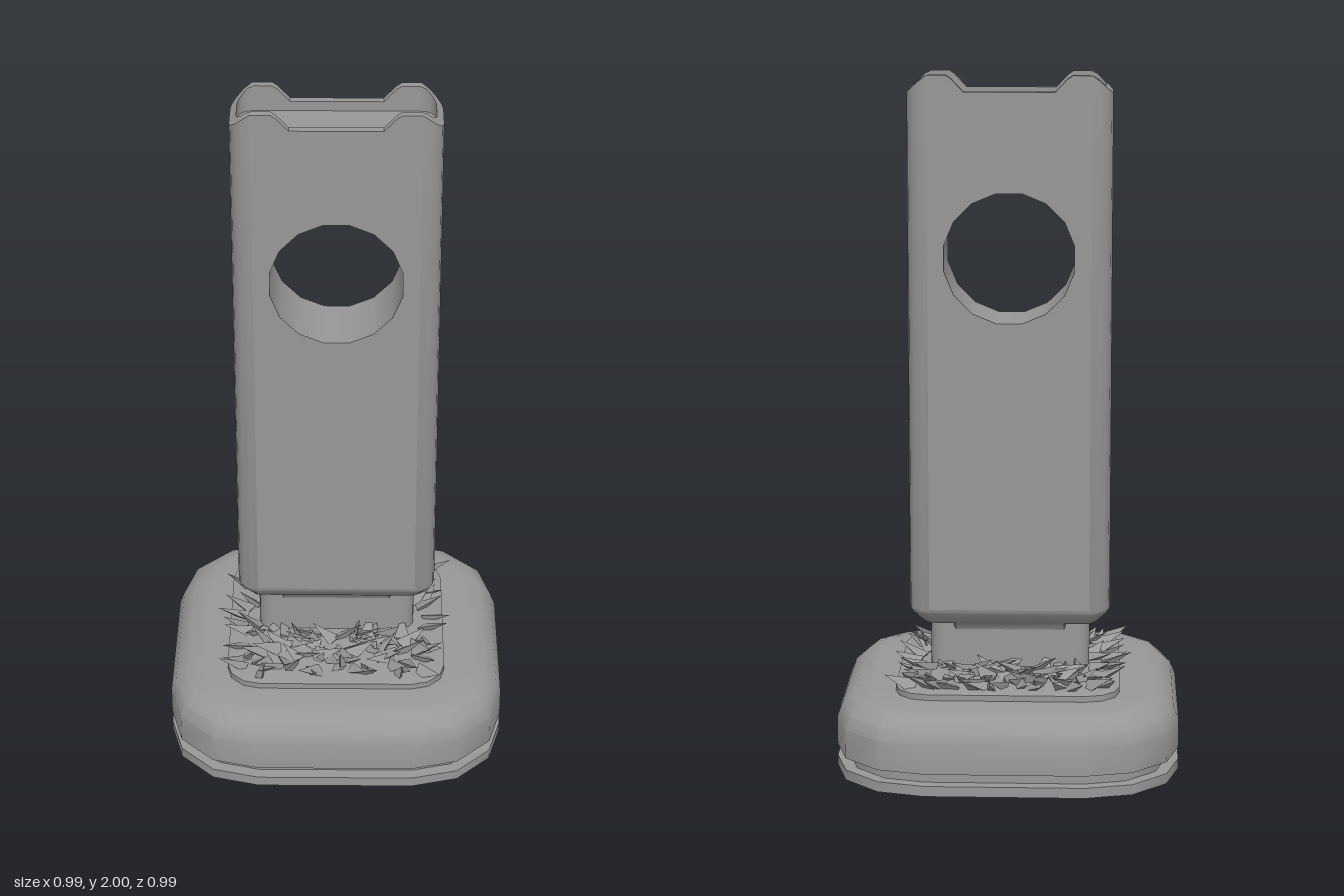
import * as THREE from 'three';
import { toCreasedNormals } from 'three/addons/utils/BufferGeometryUtils.js';

const material = new THREE.MeshStandardMaterial({ color: 0x989898 });
const openMaterial = new THREE.MeshStandardMaterial({ color: 0x989898, side: THREE.DoubleSide });

// Rounded rectangle in the xz plane; extra x stations can be added to the long edges
function outline(hx, hz, r, segments, extras = []) {
  const points = [];
  [[1, 1], [-1, 1], [-1, -1], [1, -1]].forEach(([sx, sz], corner) => {
    for (let i = 0; i <= segments; i++) {
      const a = (corner + i / segments) * Math.PI / 2;
      points.push([sx * (hx - r) + r * Math.cos(a), sz * (hz - r) + r * Math.sin(a)]);
    }
    if (corner === 0) extras.forEach(x => points.push([-x, hz]));
    if (corner === 2) extras.forEach(x => points.push([x, -hz]));
  });
  return points;
}

// Skin a stack of outlines, closing both ends; a level's y is a number or a function of x
function loft(levels, keep = () => true) {
  const rings = levels.map(({ points, y }) => points.map(([x, z]) =>
    new THREE.Vector3(x, typeof y === 'function' ? y(x) : y, z)));
  const n = rings[0].length, out = [];
  const tri = (...vs) => vs.forEach(v => out.push(v.x, v.y, v.z));
  const centre = ring => new THREE.Vector3(0, ring[0].y, 0);
  const first = rings[0], last = rings[rings.length - 1];
  for (let i = 0; i < n; i++) {
    const j = (i + 1) % n;
    tri(centre(first), first[i], first[j]);
    tri(centre(last), last[j], last[i]);
    for (let k = 0; k < rings.length - 1; k++) {
      const a = rings[k], b = rings[k + 1];
      if (!keep(k, a[i], a[j])) continue;
      tri(a[i], b[i], a[j]);
      tri(a[j], b[i], b[j]);
    }
  }
  const geometry = new THREE.BufferGeometry();
  geometry.setAttribute('position', new THREE.Float32BufferAttribute(out, 3));
  return toCreasedNormals(geometry, 0.6);
}

function addMesh(parent, name, geometry, mat = material) {
  const mesh = new THREE.Mesh(geometry, mat);
  mesh.name = name;
  parent.add(mesh);
  return mesh;
}

// Height of the notched top edge
const topProfile = [[0, 1.953], [0.13, 1.953], [0.165, 1.99], [0.18, 2], [0.24, 2], [0.295, 1.948]];
function topHeight(x) {
  const ax = Math.min(Math.abs(x), 0.295);
  const i = Math.max(1, topProfile.findIndex(p => ax <= p[0] + 1e-6));
  const [x0, y0] = topProfile[i - 1], [x1, y1] = topProfile[i];
  return y0 + (y1 - y0) * (ax - x0) / (x1 - x0);
}

function buildHandle() {
  const handle = new THREE.Group();
  handle.name = 'handle';
  const stations = [-0.18, -0.165, -0.13, 0.13, 0.165, 0.18];
  const ring = (hx, hz, r, y) => ({ points: outline(hx, hz, r, 4, stations), y });
  const flat = 0.235, depth = 0.108, sideLevel = 4;

  // Chamfered foot, rounded sides, rim and recessed top; broad faces are left open
  addMesh(handle, 'handleShell', loft([
    ring(0.25, 0.07, 0.03, 0.388),
    ring(0.258, 0.078, 0.035, 0.394),
    ring(0.288, 0.102, 0.054, 0.423),
    ring(0.294, 0.107, 0.059, 0.432),
    ring(0.295, depth, 0.06, 0.438),
    ring(0.295, depth, 0.06, topHeight),
    ring(0.275, 0.083, 0.045, topHeight),
    ring(0.275, 0.083, 0.045, 1.925),
  ], (k, p, q) => k !== sideLevel || Math.abs(p.x) > flat + 1e-4 || Math.abs(q.x) > flat + 1e-4
    || Math.abs(p.z - q.z) > 1e-4));

  // Broad faces with a round opening
  const face = new THREE.Shape();
  face.moveTo(-flat, 0.438);
  face.lineTo(flat, 0.438);
  [flat, ...[...stations].reverse(), -flat].forEach(x => face.lineTo(x, topHeight(x)));
  const radius = 0.191, holeY = 1.478, hole = [];
  for (let i = 0; i < 16; i++) {
    const a = -(i + 0.5) * Math.PI / 8;
    hole.push(new THREE.Vector2(radius * Math.cos(a), holeY + radius * Math.sin(a)));
  }
  face.holes.push(new THREE.Path(hole));
  for (const side of [0, 1]) {
    const geometry = new THREE.ShapeGeometry(face).translate(0, 0, depth).rotateY(side * Math.PI);
    addMesh(handle, side ? 'backFace' : 'frontFace', geometry);
  }
  const bore = new THREE.CylinderGeometry(radius, radius, depth * 2, 16, 1, true, Math.PI / 16);
  addMesh(handle, 'opening', bore.rotateX(Math.PI / 2).translate(0, holeY, 0), openMaterial);

  // Straight narrow neck, with a flare front and back under the foot
  addMesh(handle, 'neck', loft([0.209, 0.392].map(y => ({ points: outline(0.235, 0.05, 0.045, 4), y }))));
  addMesh(handle, 'neckFlare', loft([[0.049, 0.362], [0.054, 0.374], [0.068, 0.389]].map(([hz, y]) =>
    ({ points: outline(0.165, hz, 0.005, 1), y }))));
  return handle;
}

function buildBase() {
  const base = new THREE.Group();
  base.name = 'base';
  // Hollow shell profile: inside ceiling, down the wall, round the groove, over the top
  const profile = [
    [0.34, 0.212], [0.39, 0.209], [0.425, 0.196], [0.446, 0.17], [0.455, 0.135], [0.455, 0.02],
    [0.475, 0.02], [0.475, 0], [0.497, 0], [0.497, 0.03], [0.46, 0.03], [0.46, 0.065],
    [0.497, 0.065], [0.497, 0.15], [0.482, 0.187], [0.446, 0.219], [0.4, 0.228], [0.3, 0.229],
  ];
  addMesh(base, 'baseShell', loft(profile.map(([h, y]) =>
    ({ points: outline(h, h, Math.max(h - 0.227, 0.09), 3), y }))));
  addMesh(base, 'topPlate', loft([[0.325, 0.211], [0.325, 0.246], [0.305, 0.25]].map(([h, y]) =>
    ({ points: outline(h, h, h - 0.225, 3), y }))));
  return base;
}

function buildGrass() {
  const grass = new THREE.Group();
  grass.name = 'grass';
  let seed = 7;
  const random = () => (seed = (seed * 16807) % 2147483647) / 2147483647;
  // Three-sided blade with its root at the origin
  const blade = toCreasedNormals(new THREE.ConeGeometry(0.026, 1, 3).translate(0, 0.5, 0), 0.1);
  const columns = 15, rows = 13;
  for (let i = 0; i < columns; i++) {
    for (let j = 0; j < rows; j++) {
      const x = (i / (columns - 1) - 0.5) * 0.51 + (random() - 0.5) * 0.04;
      const z = (j / (rows - 1) - 0.5) * 0.5 + (random() - 0.5) * 0.04;
      if (Math.abs(z) < 0.06 && Math.abs(x) < 0.23) continue;
      // Outer blades lean outward, inner ones every way
      const edge = Math.max(Math.abs(x) / 0.255, Math.abs(z) / 0.25);
      const turn = Math.atan2(x, z) + (random() - 0.5) * (edge > 0.85 ? 1.6 : 5);
      const mesh = addMesh(grass, 'grassBlade', blade);
      mesh.position.set(x, 0.247, z);
      mesh.rotation.set(1.05 + random() * 0.22, turn, 0, 'YXZ');
      mesh.rotateY(random() * 2 - 1);
      mesh.scale.set(0.85 + random() * 0.4, 0.075 + random() * 0.025, 0.65);
    }
  }
  return grass;
}

export function createModel() {
  const model = new THREE.Group();
  model.name = 'handledStand';
  model.add(buildBase(), buildGrass(), buildHandle());
  return model;
}
